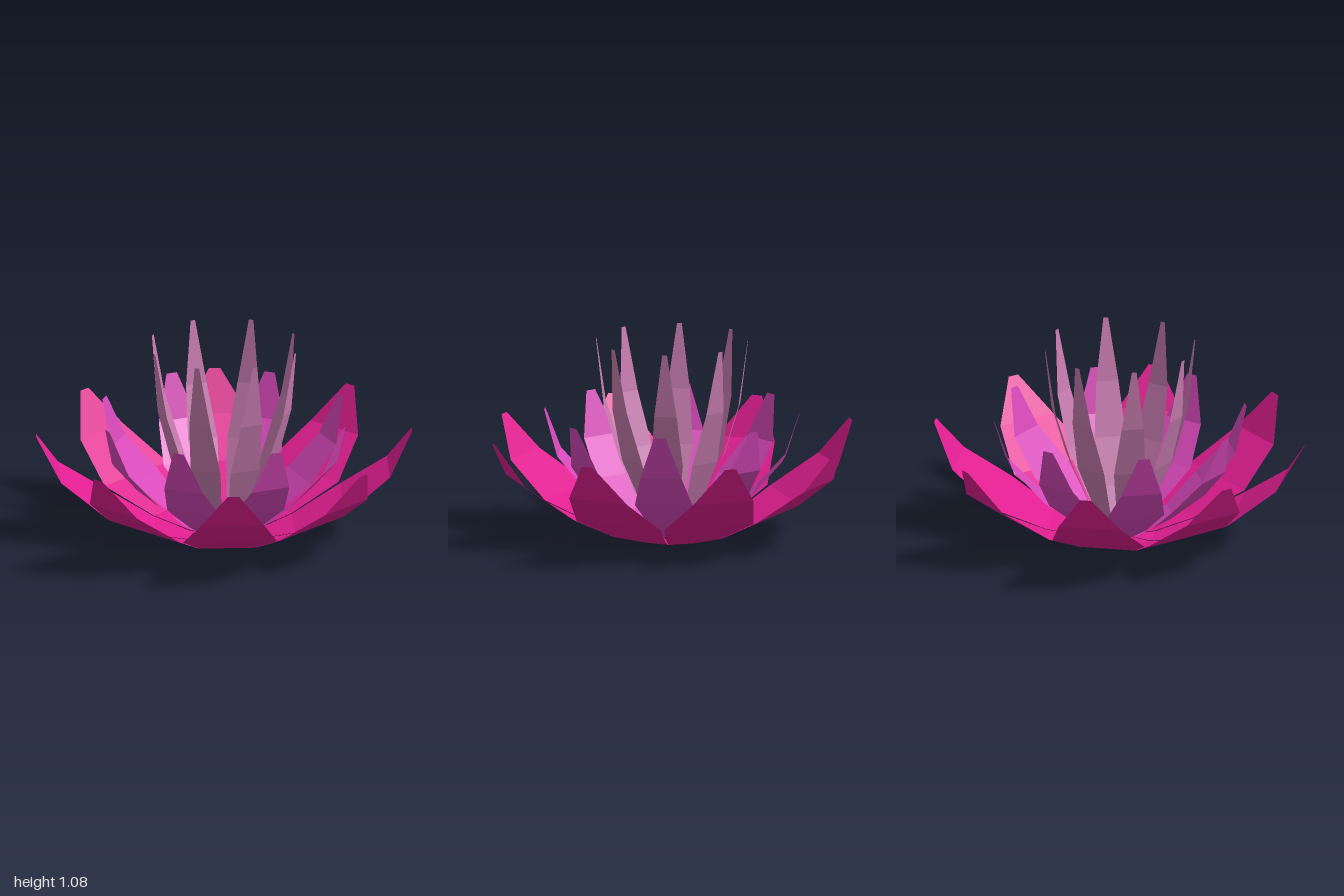
import * as THREE from 'three';

// One thin petal pointing along +z, from rows of [distance out, height, half width]
function petalGeometry(rows) {
  const positions = [];
  const index = [];
  rows.forEach(([r, y, w], i) => {
    positions.push(-w, y, r, w, y, r);
    if (i > 0) {
      const a = (i - 1) * 2;
      index.push(a, a + 2, a + 1, a + 1, a + 2, a + 3);
    }
  });
  const geometry = new THREE.BufferGeometry();
  geometry.setAttribute('position', new THREE.Float32BufferAttribute(positions, 3));
  geometry.setIndex(index);
  // Inner face points up and towards the centre
  const flat = geometry.toNonIndexed();
  flat.computeVertexNormals();
  return flat;
}

// A ring of eight equal petals
function petalRing(name, rows, color, turn) {
  const ring = new THREE.Group();
  ring.name = name + 'Ring';
  const geometry = petalGeometry(rows);
  const material = new THREE.MeshStandardMaterial({ color, flatShading: true, side: THREE.DoubleSide });
  for (let i = 0; i < 8; i++) {
    const petal = new THREE.Mesh(geometry, material);
    petal.name = name;
    petal.rotation.y = turn + (i * Math.PI) / 4;
    ring.add(petal);
  }
  return ring;
}

export function createModel() {
  const flower = new THREE.Group();
  flower.name = 'waterLily';

  // Wide, low outer petals
  flower.add(petalRing('outerPetal', [
    [0.04, 0, 0.016], [0.18, 0.003, 0.07], [0.37, 0.06, 0.15],
    [0.63, 0.19, 0.25], [0.875, 0.37, 0.17], [1, 0.58, 0.03],
  ], 0xe01e90, 0));

  // Steeper middle petals, set between the outer ones
  const turn = 0.371;
  flower.add(petalRing('middlePetal', [
    [0.04, 0.01, 0.01], [0.14, 0.035, 0.04], [0.27, 0.12, 0.09],
    [0.44, 0.27, 0.155], [0.603, 0.455, 0.11], [0.68, 0.69, 0.03],
  ], 0xd748b9, turn));

  // Slender upright inner petals
  flower.add(petalRing('innerPetal', [
    [0.04, 0.02, 0.006], [0.1, 0.06, 0.024], [0.175, 0.21, 0.053],
    [0.275, 0.45, 0.085], [0.36, 0.735, 0.06], [0.405, 1.08, 0.013],
  ], 0xc97db1, turn));

  return flower;
}
